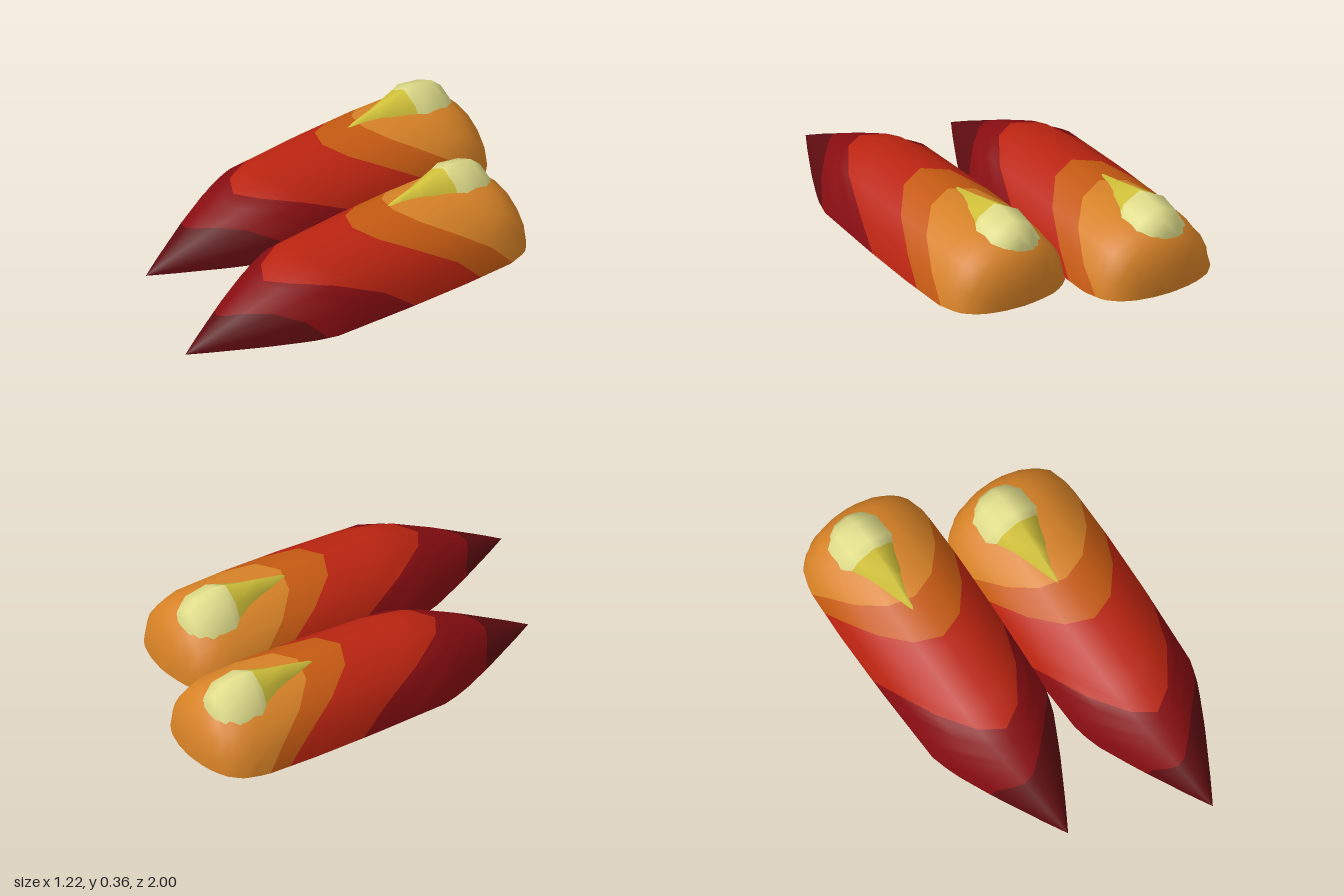
import * as THREE from 'three';

const mat = (name, color, side = THREE.FrontSide) => {
  const m = new THREE.MeshStandardMaterial({ color, side });
  m.name = name;
  return m;
};

// Linear lookup in a short table of [z, value] points
function lookup(table, z) {
  for (let i = 1; i < table.length; i++) {
    const [z0, v0] = table[i - 1], [z1, v1] = table[i];
    if (z <= z1) return v0 + (v1 - v0) * Math.max(0, (z - z0) / (z1 - z0));
  }
  return table[table.length - 1][1];
}

// Skin over rows of points running from +x over the top to -x; bands are row counts per material
function loft(rows, bands) {
  const n = rows[0].length;
  const geo = new THREE.BufferGeometry();
  const index = [];
  let row = 0;
  bands.forEach((count, material) => {
    const start = index.length;
    for (const end = row + count; row < end; row++) {
      for (let u = 0; u < n - 1; u++) {
        const a = row * n + u, c = a + n;
        index.push(a, a + 1, c, a + 1, c + 1, c);
      }
    }
    geo.addGroup(start, index.length - start, material);
  });
  geo.setAttribute('position', new THREE.Float32BufferAttribute(rows.flat(2), 3));
  geo.setIndex(index);
  geo.computeVertexNormals();
  return geo;
}

// Lengthwise scale of the half-round body, from rounded back to pointed front
const bodyScale = [[-0.755, 0], [-0.75, 0.25], [-0.73, 0.53], [-0.7, 0.72], [-0.65, 0.88], [-0.55, 0.98],
  [-0.3, 1], [0, 0.985], [0.39, 0.93], [0.5, 0.82], [0.68, 0.55], [0.9, 0.18], [1, 0]];

// Colour borders: z at the +x edge, at the crest and at the -x edge
const borders = [[-0.56, -0.14, -0.48], [-0.38, 0.08, -0.38], [-0.02, 0.57, 0], [0.43, 0.78, 0.72]];

function bodyRows(shift) {
  const SEG = 8, SUB = 10;
  const edge = (i, a) => {
    if (i === 0) return -0.755;
    if (i === 5) return 1;
    const [l, top, r] = borders[i - 1];
    const side = l + (r - l) * a / Math.PI;
    return shift + side + (top - (l + r) / 2) * Math.pow(Math.sin(a), 1.5);
  };
  const rows = [];
  for (let band = 0; band < 5; band++) {
    for (let k = band ? 1 : 0; k <= SUB; k++) {
      const t = band ? k / SUB : (k / SUB) ** 2; // closer rows round the back
      const row = [];
      for (let u = 0; u <= SEG; u++) {
        const a = Math.PI * u / SEG;
        const z = edge(band, a) * (1 - t) + edge(band + 1, a) * t;
        const s = lookup(bodyScale, z);
        row.push([0.315 * s * Math.cos(a), u === SEG ? 0 : 0.29 * s * Math.sin(a), z]);
      }
      rows.push(row);
    }
  }
  return rows;
}

// Crest sections: z, half width, height
const crest = [[-0.685, 0.07, 0.15], [-0.675, 0.11, 0.25], [-0.65, 0.14, 0.295], [-0.6, 0.18, 0.34],
  [-0.49, 0.19, 0.36], [-0.45, 0.165, 0.352], [-0.3, 0.1, 0.323], [-0.16, 0.045, 0.293], [-0.05, 0, 0.22]];

function crestRows() {
  return crest.map(([z, w, h]) => Array.from({ length: 7 }, (_, u) => {
    const a = Math.PI * u / 6;
    return [w * Math.cos(a), 0.02 + (h - 0.02) * Math.sin(a), z];
  }));
}

export function createModel() {
  const model = new THREE.Group();
  const maroon = mat('maroon', 0x5e0c10);
  const bodyMats = [mat('light orange', 0xd78226), mat('deep orange', 0xc65a12),
    mat('red', 0xbb2410), mat('dark red', 0x880d11), maroon];
  const crestMats = [mat('cream', 0xe0dd8a, THREE.DoubleSide), mat('yellow', 0xd2c23a, THREE.DoubleSide)];

  const addPod = (name, x, z, shift) => {
    const pod = new THREE.Group();
    pod.name = name;
    pod.position.set(x, 0, z);

    const rows = bodyRows(shift);
    const body = new THREE.Mesh(loft(rows, [10, 10, 10, 10, 10]), bodyMats);
    body.name = 'body';

    // Flat underside spanning the two lower edges
    const baseRows = rows.map(r => [r[r.length - 1], r[0]]);
    const base = new THREE.Mesh(loft(baseRows, [rows.length - 1]), maroon);
    base.name = 'underside';

    const top = new THREE.Mesh(loft(crestRows(), [5, 3]), crestMats);
    top.name = 'crest';
    top.position.x = -0.04;

    pod.add(body, base, top);
    model.add(pod);
  };
  addPod('leftPod', 0.295, 0, 0);
  addPod('rightPod', -0.295, -0.245, -0.05);
  return model;
}
